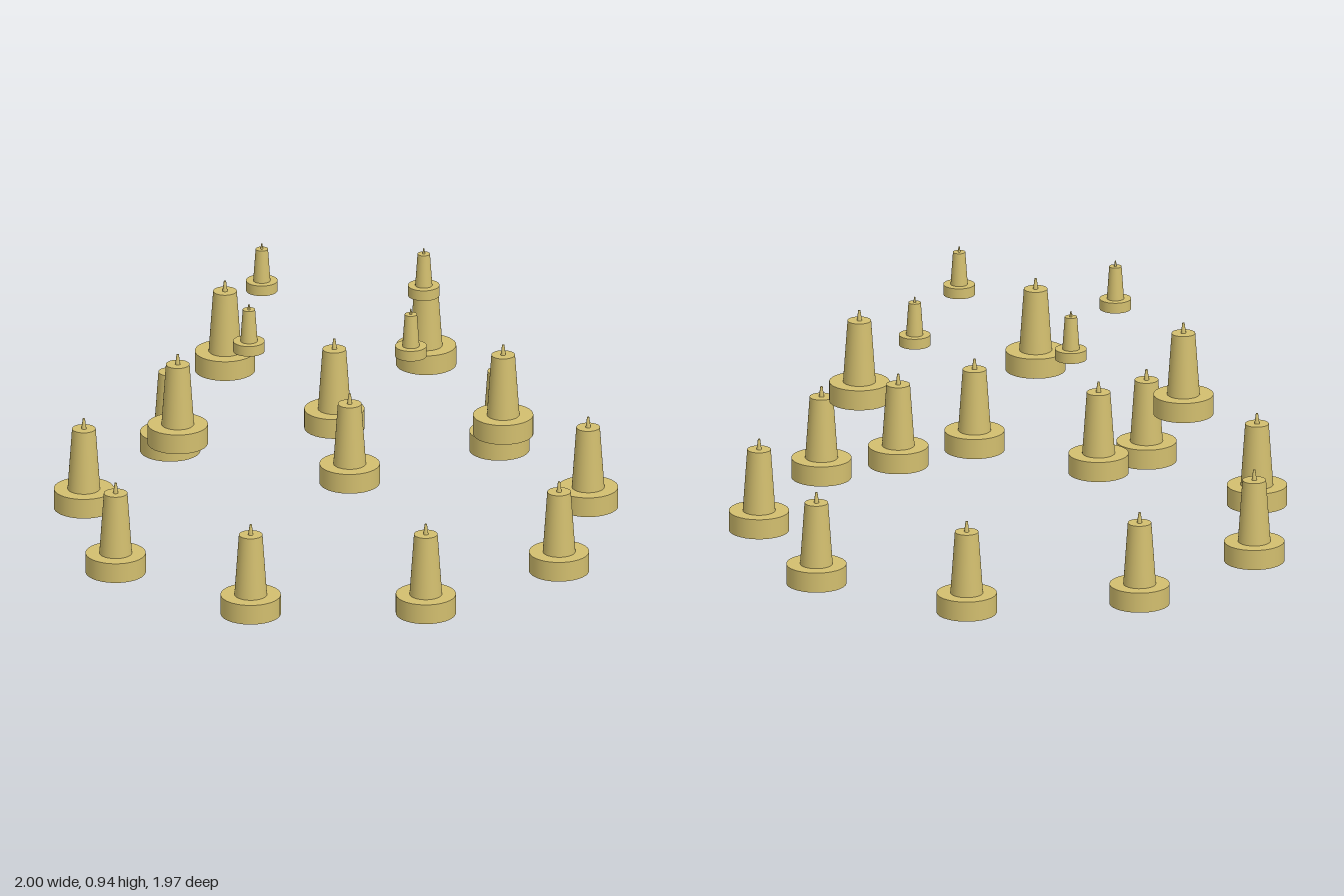
import * as THREE from 'three';

const wax = new THREE.MeshStandardMaterial({ color: 0xd2be6e });

// Cylinder whose bottom sits at height y
function stack(name, rTop, rBottom, y, height) {
  const geometry = new THREE.CylinderGeometry(rTop, rBottom, height, 32);
  geometry.translate(0, y + height / 2, 0);
  const mesh = new THREE.Mesh(geometry, wax);
  mesh.name = name;
  return mesh;
}

// One candle: round holder, tapered body and a pointed wick
function makeCandle() {
  const candle = new THREE.Group();
  candle.name = 'candle';
  candle.add(
    stack('holder', 0.107, 0.107, 0, 0.073),
    stack('candleBody', 0.042, 0.058, 0.073, 0.228),
    stack('wick', 0.004, 0.009, 0.301, 0.038)
  );
  return candle;
}

export function createModel() {
  const model = new THREE.Group();
  model.name = 'candleRings';

  // Three floating rings, each starting at the back
  const rings = [
    { name: 'lowerRing', count: 9, radius: 0.907, y: 0, scale: 1 },
    { name: 'middleRing', count: 5, radius: 0.608, y: 0.4, scale: 1 },
    { name: 'upperRing', count: 4, radius: 0.407, y: 0.765, scale: 0.525 },
  ];
  for (const { name, count, radius, y, scale } of rings) {
    const ring = new THREE.Group();
    ring.name = name;
    ring.position.set(0, y, 0.026);
    for (let i = 0; i < count; i++) {
      const angle = (i / count) * Math.PI * 2;
      const candle = makeCandle();
      candle.position.set(Math.sin(angle) * radius, 0, -Math.cos(angle) * radius);
      candle.scale.setScalar(scale);
      ring.add(candle);
    }
    model.add(ring);
  }
  return model;
}
